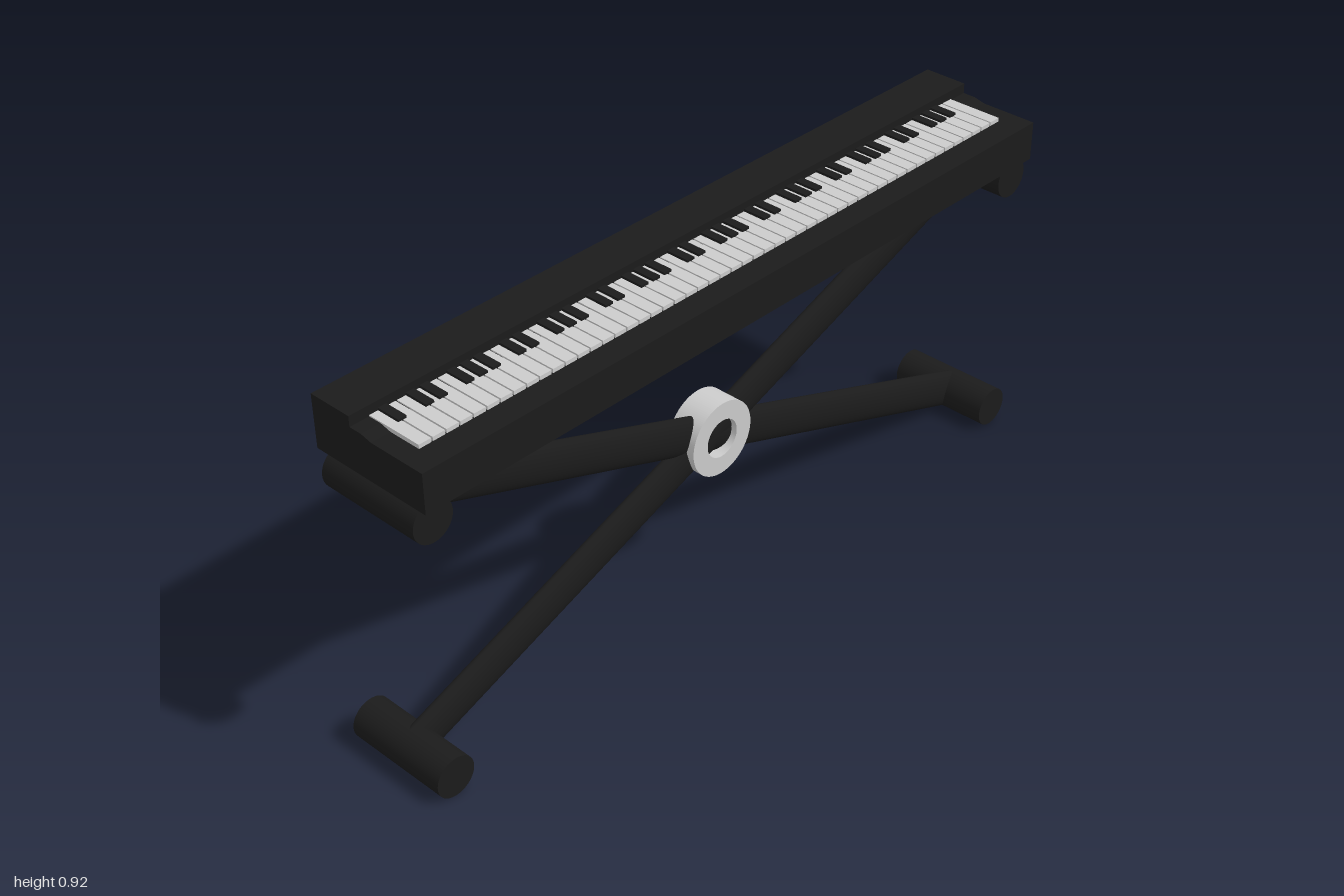
import * as THREE from 'three';

const black = new THREE.MeshStandardMaterial({ color: 0x1b1b1b });
const grey = new THREE.MeshStandardMaterial({ color: 0xcccccc });

function add(parent, name, geometry, material, x = 0, y = 0, z = 0) {
  const mesh = new THREE.Mesh(geometry, material);
  mesh.name = name;
  mesh.position.set(x, y, z);
  parent.add(mesh);
  return mesh;
}

// Case: side profile extruded along the width, shape x = -z
function buildCase(parent) {
  const profile = [
    [0.165, 0.79], [0.165, 0.89], [0.015, 0.89], [-0.015, 0.897],
    [-0.049, 0.897], [-0.049, 0.923], [-0.165, 0.923], [-0.165, 0.79],
  ];
  const shape = new THREE.Shape(profile.map(([z, y]) => new THREE.Vector2(-z, y)));
  const geometry = new THREE.ExtrudeGeometry(shape, { depth: 1.97, bevelEnabled: false });
  geometry.translate(0, 0, -0.985).rotateY(Math.PI / 2);
  add(parent, 'case', geometry, black);
}

// 88 keys: 52 white from A to C, black ones on the boundaries
function buildKeys(parent) {
  const keys = new THREE.Group();
  keys.name = 'keys';
  parent.add(keys);
  const count = 52, start = -0.937, pitch = 1.87 / count;
  const white = new THREE.BoxGeometry(pitch - 0.004, 0.015, 0.152);
  const sharp = new THREE.BoxGeometry(0.022, 0.018, 0.066);
  const hasSharp = [true, false, true, true, false, true, true]; // A B C D E F G
  for (let i = 0; i < count; i++) {
    add(keys, 'whiteKey', white, grey, start + (i + 0.5) * pitch, 0.8925, 0.023);
    if (hasSharp[i % 7] && i < count - 1) {
      add(keys, 'blackKey', sharp, black, start + (i + 1) * pitch, 0.897, -0.021);
    }
  }
}

// Crossed stand: flattened tubes, end rollers and a central ring
function buildStand(parent) {
  const stand = new THREE.Group();
  stand.name = 'stand';
  parent.add(stand);
  const midY = 0.397, dx = 0.948, dy = 0.345;
  const bar = new THREE.CylinderGeometry(0.05, 0.05, 2 * Math.hypot(dx, dy), 48);
  bar.scale(1, 1, 0.48);
  const roller = new THREE.CylinderGeometry(0.052, 0.052, 0.278, 48).rotateX(Math.PI / 2);
  for (const side of [-1, 1]) {
    add(stand, 'crossBar', bar, black, 0, midY).rotation.z = side * Math.atan2(dx, dy);
    add(stand, 'foot', roller, black, side * dx, midY - dy);
    add(stand, 'topSupport', roller, black, side * dx, midY + dy);
  }

  const ring = new THREE.Shape().absarc(0, 0, 0.098, 0, Math.PI * 2);
  ring.holes.push(new THREE.Path().absarc(0, 0, 0.05, 0, Math.PI * 2, true));
  const ringGeometry = new THREE.ExtrudeGeometry(ring, { depth: 0.08, bevelEnabled: false, curveSegments: 64 });
  add(stand, 'pivotRing', ringGeometry, grey, 0, midY, -0.04);
}

export function createModel() {
  const model = new THREE.Group();
  model.name = 'keyboardOnStand';
  buildCase(model);
  buildKeys(model);
  buildStand(model);
  return model;
}
